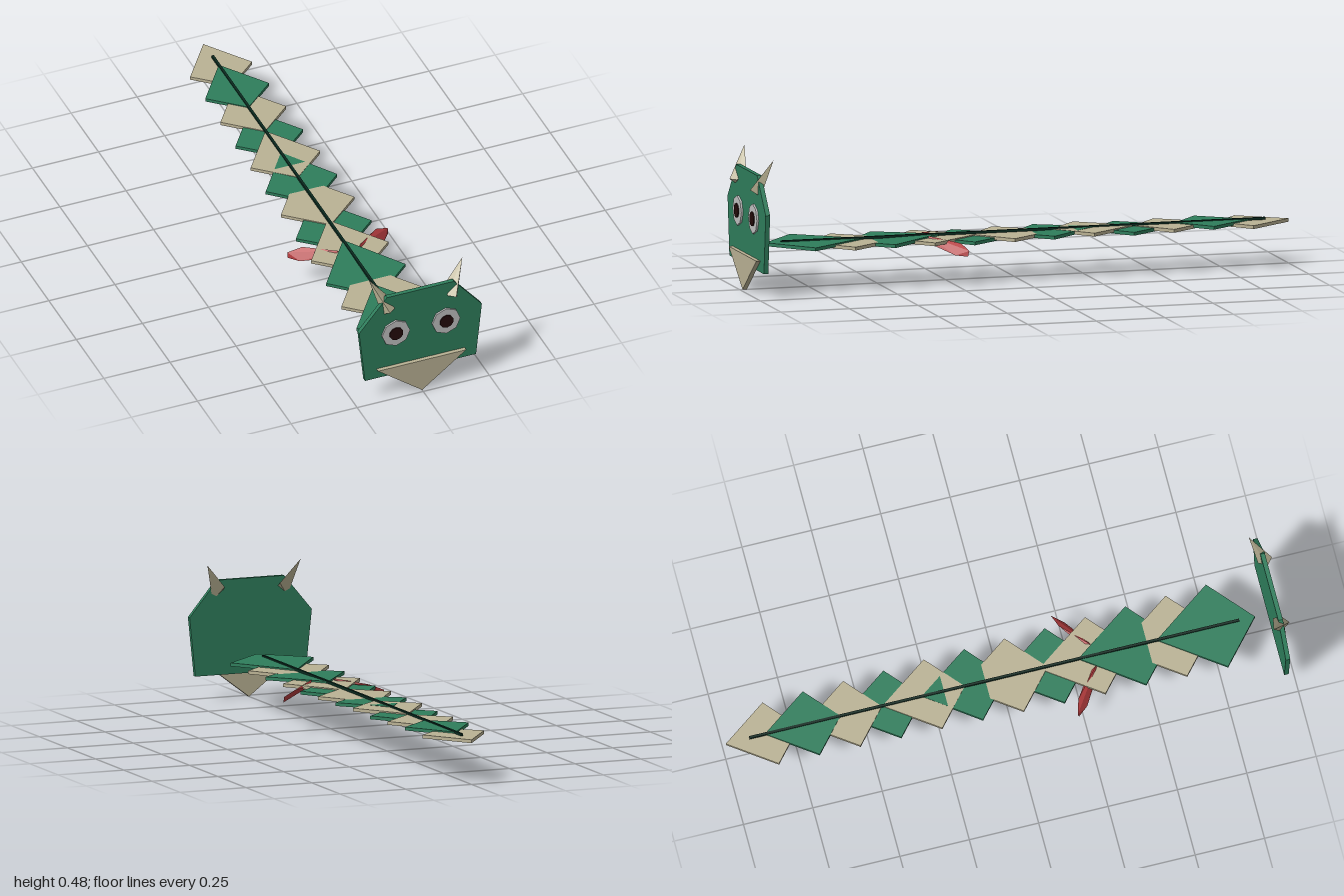
import * as THREE from 'three';
import { ConvexGeometry } from 'three/addons/geometries/ConvexGeometry.js';

const mat = (name, color) => {
  const m = new THREE.MeshStandardMaterial({ color });
  m.name = name;
  return m;
};

export function createModel() {
  const model = new THREE.Group();
  model.name = 'kiteDragon';
  const green = mat('green', 0x2e7d5b);
  const beige = mat('beige', 0xbab294);
  const white = mat('eyeWhite', 0xc0c0c0);
  const dark = mat('pupilDark', 0x240a0a);
  const red = mat('red', 0xb43c3e);
  const spineDark = mat('spineDark', 0x0a2a1f);

  const add = (name, geometry, material, parent = model) => {
    const mesh = new THREE.Mesh(geometry, material);
    mesh.name = name;
    parent.add(mesh);
    return mesh;
  };
  const plate = (points, depth) => new THREE.ExtrudeGeometry(
    new THREE.Shape(points.map(([x, y]) => new THREE.Vector2(x, y))),
    { depth, bevelEnabled: false });
  // Convex solid from a few corners, mirrored by side
  const hull = (points, side) => new ConvexGeometry(
    points.map(([x, y, z]) => new THREE.Vector3(x * side, y, z)));
  const disc = (radius, depth, sides) =>
    new THREE.CylinderGeometry(radius, radius, depth, sides).toNonIndexed().rotateX(Math.PI / 2);

  // Head and beak
  const head = new THREE.Group();
  head.name = 'head';
  model.add(head);
  add('face', plate([[-0.21, 0.087], [0.21, 0.087], [0.232, 0.297],
    [0.127, 0.423], [-0.127, 0.423], [-0.232, 0.297]], 0.016), green, head).position.z = 0.959;
  add('beak', plate([[0, 0], [0.167, 0.127], [-0.167, 0.127]], 0.016), beige, head).position.z = 0.974;

  for (const side of [1, -1]) {
    const label = side > 0 ? 'left' : 'right';
    // Eyes
    add(label + 'EyeWhite', disc(0.053, 0.008, 8), white, head).position.set(0.095 * side, 0.265, 0.978);
    add(label + 'Pupil', disc(0.026, 0.006, 10), dark, head).position.set(0.095 * side, 0.265, 0.983);
    // Horns pierce the face plate and sweep back
    add(label + 'Horn', hull([[0.125, 0.372, 1], [0.1, 0.372, 0.98], [0.142, 0.35, 0.966],
      [0.135, 0.405, 0.976], [0.105, 0.4, 0.945], [0.177, 0.483, 0.93]], side), beige, head);
    // Small side fins
    add(label + 'Fin', hull([[0.04, 0.165, 0.325], [0.06, 0.14, 0.325], [0.06, 0.15, 0.29],
      [0.14, 0.15, 0.235], [0.19, 0.13, 0.22], [0.19, 0.11, 0.225], [0.16, 0.112, 0.262]], side), red);
  }

  // Body: overlapping kites from tail to neck, [top height, slight tilt]
  const body = new THREE.Group();
  body.name = 'body';
  model.add(body);
  const layers = [[0.158, 0], [0.163, 0], [0.16, 0], [0.157, 0], [0.1615, 0], [0.1583, 0.03],
    [0.157, 0], [0.153, 0], [0.157, 0], [0.1582, 0.03], [0.157, 0], [0.162, 0]];
  layers.forEach(([top, tilt], i) => {
    const w = 0.117 + 0.04 * i / 11;
    const geometry = plate([[0, -1.385 * w], [w, 0], [0, 0.87 * w], [-w, 0]], 0.012).rotateX(Math.PI / 2);
    const scale = add('bodyPlate' + (i + 1), geometry, i % 2 ? green : beige, body);
    scale.position.set(0, top, -0.838 + 0.1462 * i);
    scale.rotation.x = tilt;
  });

  // Spine rod along the back
  add('spine', new THREE.BoxGeometry(0.009, 0.009, 1.765), spineDark).position.set(0, 0.1625, -0.0325);

  return model;
}
